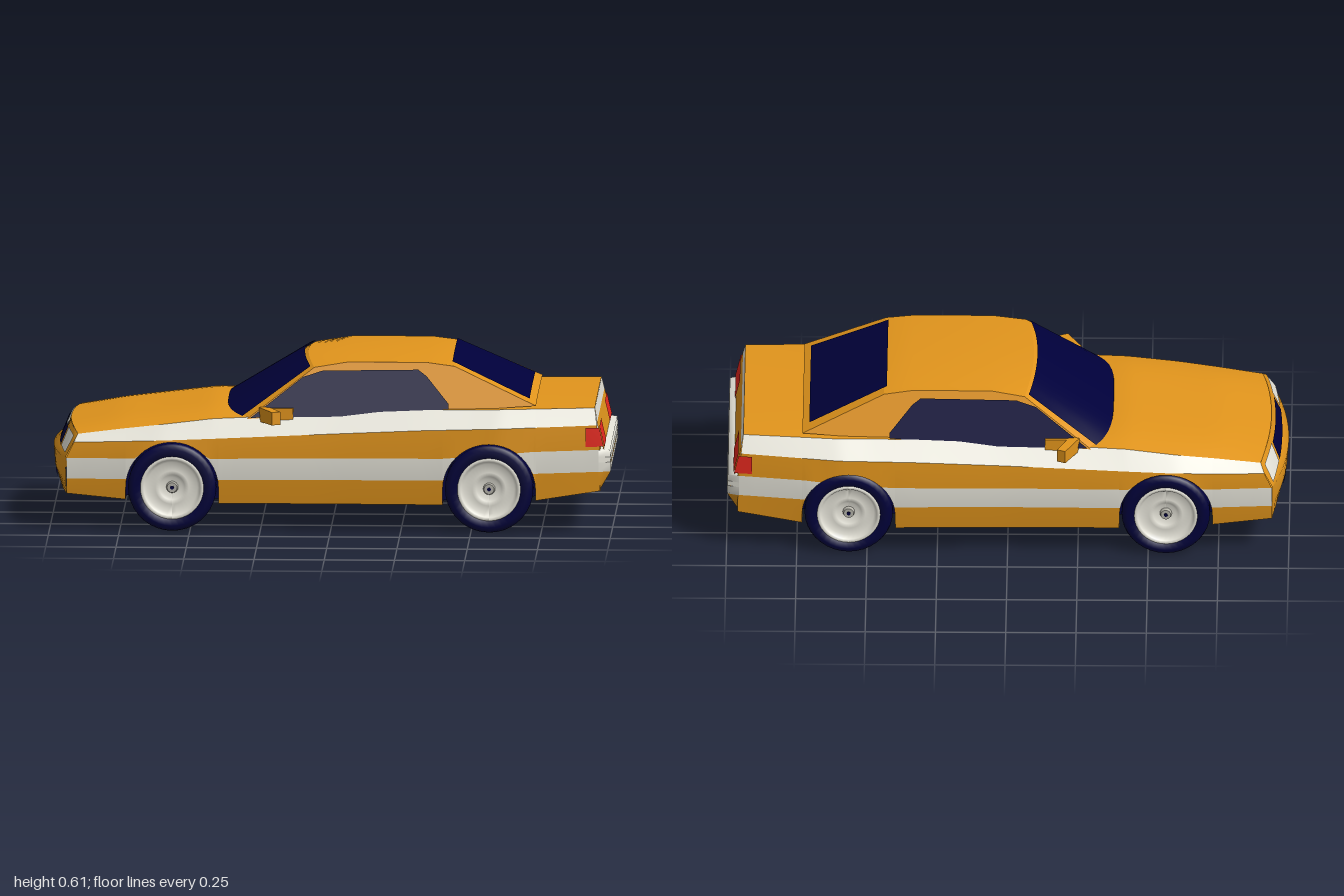
import * as THREE from 'three';

const material = (name, color) => {
  const m = new THREE.MeshStandardMaterial({ color, side: THREE.DoubleSide });
  m.name = name;
  return m;
};

// Piecewise linear lookup in [[x, value], ...]
const table = (pts) => (x) => {
  let i = 0;
  while (i < pts.length - 2 && x > pts[i + 1][0]) i++;
  const [a, b] = [pts[i], pts[i + 1]];
  return THREE.MathUtils.lerp(a[1], b[1], THREE.MathUtils.clamp((x - a[0]) / (b[0] - a[0]), 0, 1));
};
const range = (a, b, n) => Array.from({ length: n + 1 }, (_, i) => a + (b - a) * i / n);
const mix = (a, b, v) => a.map((n, i) => n + (b[i] - n) * v);

export function createModel() {
  const orange = material('orange paint', 0xe2951c);
  const white = material('white trim', 0xe6e4d9);
  const navy = material('dark navy', 0x00003a);
  const red = material('tail red', 0xee2a20);
  const grey = material('hub grey', 0xb4b2a8);
  const car = new THREE.Group();
  car.name = 'car';
  const middle = new THREE.Vector3(0, 0.25, 0);

  // Surface through rows of points, one material per strip, wound to face away from the car's middle
  function surface(name, rows, mats) {
    const n = rows[0].length, index = [], geo = new THREE.BufferGeometry();
    const list = Array.isArray(mats) ? mats : [mats];
    const tri = new THREE.Triangle(), normal = new THREE.Vector3(), mid = new THREE.Vector3();
    const points = rows.flat().map((p) => new THREE.Vector3(...p));
    let facing = 0;
    for (let r = 0; r < rows.length - 1; r++) {
      for (let c = 0; c < n - 1; c++) {
        const a = r * n + c, b = a + n;
        for (const f of [[a, a + 1, b + 1], [a, b + 1, b]]) {
          tri.set(...f.map((i) => points[i]));
          facing += tri.getArea() * tri.getNormal(normal).dot(tri.getMidpoint(mid).sub(middle));
          index.push(f);
        }
      }
      geo.addGroup(r * (n - 1) * 6, (n - 1) * 6, Math.min(r, list.length - 1));
    }
    geo.setAttribute('position', new THREE.Float32BufferAttribute(rows.flat(2), 3));
    geo.setIndex(index.flatMap(([a, b, c]) => (facing < 0 ? [a, c, b] : [a, b, c])));
    geo.computeVertexNormals();
    if (list.length === 1) geo.clearGroups();
    const mesh = new THREE.Mesh(geo, list.length === 1 ? list[0] : list);
    mesh.name = name;
    car.add(mesh);
  }
  // Patch ruled between two curves a(t) and b(t), with an optional offset
  function ruled(name, a, b, t0, t1, v0, v1, mat, off = [0, 0, 0]) {
    surface(name, range(v0, v1, 4).map((v) =>
      range(t0, t1, 16).map((t) => mix(a(t), b(t), v).map((n, i) => n + off[i]))), mat);
  }

  // Body lines along the length
  const halfWidth = table([[-0.94, 0.38], [-0.6, 0.408], [0, 0.407], [0.6, 0.42], [0.96, 0.383]]);
  const sill = table([[-0.94, 0.13], [-0.71, 0.11], [-0.4, 0.1], [0.4, 0.1], [0.72, 0.115], [0.96, 0.15]]);
  const stripeLow = table([[-0.94, 0.185], [0.4, 0.19], [0.72, 0.215], [0.96, 0.22]]);
  const stripeHigh = table([[-0.94, 0.26], [0.4, 0.27], [0.72, 0.295], [0.96, 0.3]]);
  const beltLow = table([[-0.94, 0.315], [-0.74, 0.322], [-0.42, 0.335], [0.33, 0.37], [0.96, 0.388]]);
  const beltHigh = table([[-0.94, 0.335], [-0.74, 0.362], [-0.42, 0.4], [0.33, 0.435], [0.96, 0.445]]);
  const beltIn = table([[-0.9, 0.89], [-0.3, 0.87], [0.5, 0.86], [0.94, 0.89]]);
  const crown = table([[-0.94, 0.01], [-0.74, 0.025], [-0.42, 0.024], [-0.3, 0.01], [0.6, 0.01], [0.96, 0.003]]);

  // Wheel arches, close round the tyres
  const wheelX = [-0.563, 0.565], wheelY = 0.157, archR = 0.165, wellZ = 0.285;
  const archOf = (x) => wheelX.find((c) => Math.abs(x - c) <= archR + 1e-6);
  const bottom = (x) => {
    const c = archOf(x);
    return c === undefined ? sill(x) : wheelY + Math.sqrt(Math.max(0, archR ** 2 - (x - c) ** 2));
  };
  const columns = range(-0.94, 0.96, 30).filter((x) => archOf(x) === undefined);
  for (const c of wheelX) {
    columns.push(c - archR - 0.001, c + archR + 0.001);
    for (const a of range(0, Math.PI, 20)) columns.push(c - archR * Math.cos(a));
  }
  columns.sort((a, b) => a - b);
  const bottomZ = (x) => halfWidth(x) * table([[0.1, 0.95], [0.19, 0.985], [0.27, 1], [0.36, 0.99]])(bottom(x));
  // Each line: height, share of half width, front and rear ends
  const lines = [[stripeLow, () => 0.985, -0.94, 0.96], [stripeHigh, () => 1, -0.94, 0.96],
    [beltLow, () => 0.99, -0.913, 0.948], [beltHigh, beltIn, -0.9, 0.94]];

  for (const s of [1, -1]) {
    // Painted side with the lower stripe, then the sloping white belt
    const rows = [columns.map((x) => [x, bottom(x), s * bottomZ(x)])];
    for (const [f, k, x0, x1] of lines) {
      rows.push(columns.map((c) => {
        const x = THREE.MathUtils.clamp(c, x0, x1), low = f(x) < bottom(x);
        return [x, low ? bottom(x) : f(x), s * (low ? bottomZ(x) : halfWidth(x) * k(x))];
      }));
    }
    surface('bodySide', rows.slice(0, 4), [orange, white, orange]);
    surface('whiteBelt', rows.slice(3), white);
    // Wheel wells
    for (const c of wheelX) {
      const xs = columns.filter((x) => Math.abs(x - c) < archR + 0.002);
      surface('wheelWell', [
        xs.map((x) => [x, bottom(x), s * bottomZ(x)]),
        xs.map((x) => [x, bottom(x), s * wellZ]),
        xs.map((x) => [x, sill(x), s * wellZ])], navy);
    }
  }

  // Floor, narrowed between the wheels
  surface('floor', columns.map((x) => {
    const z = archOf(x) === undefined ? bottomZ(x) : wellZ;
    return [[x, sill(x), z], [x, sill(x), -z]];
  }), orange);

  // Hood and rear deck
  const deck = (x, t) => [
    x - 0.035 * (1 - t * t) * THREE.MathUtils.clamp((-0.6 - x) / 0.3, 0, 1),
    beltHigh(x) + crown(x) * (1 - t ** 4), halfWidth(x) * beltIn(x) * t];
  const deckRows = (a, b) => range(a, b, 20).map((x) => range(-1, 1, 16).map((t) => deck(x, t)));
  surface('hood', deckRows(-0.9, -0.2), orange);
  surface('rearDeck', deckRows(0.4, 0.94), orange);

  // Nose: height, centre x, half width, corner x
  const noseRows = [[0.34, -0.935, 0.341, -0.9], [0.317, -0.946, 0.378, -0.913], [0.268, -0.968, 0.381, -0.94],
    [0.26, -0.997, 0.38, -0.943], [0.19, -0.992, 0.375, -0.941], [0.13, -0.97, 0.361, -0.94]];
  const nose = (i) => (t) => {
    const [y, x, z, corner] = noseRows[i];
    return [corner + (x - corner) * (1 - t * t), y + (i === 0 ? 0.012 * (1 - t ** 4) : 0), z * t];
  };
  surface('nose', noseRows.map((_, i) => range(-1, 1, 16).map(nose(i))), orange);
  const ahead = [-0.007, 0.004, 0];
  ruled('grille', nose(0), nose(2), -0.5, 0.5, 0.22, 0.95, navy, ahead);
  for (const s of [1, -1]) ruled('headlight', nose(0), nose(2), s * 0.55, s * 0.98, 0.15, 0.92, white, ahead);
  ruled('bumperSlot', nose(4), nose(5), -0.4, 0.4, 0.3, 0.6, navy, [-0.004, -0.002, 0]);

  // Tail panel, lights and bumper
  const tail = (x, y, z) => (t) => [x, y, z * t];
  const lip = tail(0.94, 0.445, 0.343), panelTop = tail(0.949, 0.397, 0.38), panelLow = tail(0.972, 0.3, 0.383);
  ruled('tailLip', lip, panelTop, -1, 1, 0, 1, white);
  ruled('tailPanel', panelTop, panelLow, -1, 1, 0, 1, orange);
  const taper = (x, y, z) => [-1, -0.96, 0.96, 1].map((t) => [Math.abs(t) === 1 ? 0.955 : x, y, z * t]);
  surface('bumperTop', [taper(0.96, 0.302, 0.383), taper(0.995, 0.298, 0.385), taper(0.997, 0.273, 0.384)], white);
  surface('bumperLower', [taper(0.998, 0.254, 0.384), taper(0.997, 0.22, 0.381),
    taper(0.966, 0.165, 0.37), taper(0.955, 0.15, 0.365)], [white, orange, orange]);
  // Deep groove across the bumper
  ruled('bumperGrooveTop', tail(0.996, 0.273, 0.368), tail(0.962, 0.273, 0.368), -1, 1, 0, 1, white);
  ruled('bumperGrooveFloor', tail(0.962, 0.254, 0.368), tail(0.997, 0.254, 0.368), -1, 1, 0, 1, white);
  ruled('bumperGroove', tail(0.962, 0.273, 0.368), tail(0.962, 0.254, 0.368), -1, 1, 0, 1, navy);
  for (const s of [1, -1]) {
    surface('bumperEnd', [0.273, 0.254].map((y) => [[0.997, y, s * 0.3687], [0.955, y, s * 0.384]]), white);
    ruled('tailLight', panelTop, panelLow, s * 0.5, s * 0.985, 0.14, 0.92, red, [0.005, 0, 0]);
    // Light wrapping round the corner
    surface('tailLightSide', [[0.38, 0.957], [0.312, 0.973]].map(([y, x]) =>
      [[0.908, y, s * (halfWidth(0.908) + 0.004)], [x, y, s * 0.385]]), red);
  }

  // Cabin: sides lean inwards by one rule
  const cabinZ = (y) => 0.342 - (y - 0.447) * 0.36;
  const base = [[-0.3, 0.398], [0.1, 0.41], [0.42, 0.43], [0.73, 0.45]];
  const roof = [[-0.06, 0.577, 0.018, 0.03], [0.06, 0.596, 0.01, 0], [0.34, 0.596, 0.009, 0], [0.44, 0.583, 0.007, 0]];
  const roofLine = ([x, y, rise, bow]) => (t) => [x - bow * (1 - t * t), y + rise * (1 - t * t), cabinZ(y) * t];
  surface('roof', roof.map((r) => range(-1, 1, 16).map(roofLine(r))), orange);
  const cowl = (t) => [-0.3 - 0.073 * (1 - t ** 4), 0.398 + 0.022 * (1 - t * t), cabinZ(0.398) * t];
  const rearBase = (t) => [0.73, 0.45 + 0.006 * (1 - t * t), cabinZ(0.45) * t];
  const front = roofLine(roof[0]), back = roofLine(roof[3]);
  ruled('windshieldFrame', cowl, front, -1, 1, 0, 1, orange);
  ruled('windshield', cowl, front, -0.95, 0.95, 0.01, 0.97, navy, [-0.004, 0.006, 0]);
  ruled('rearWindowFrame', back, rearBase, -1, 1, 0, 1, orange);
  ruled('rearWindow', back, rearBase, -0.87, 0.87, -0.04, 0.91, navy, [0.002, 0.005, 0]);

  const windowOutline = [[-0.285, 0.405], [-0.1, 0.545], [-0.03, 0.567], [0.31, 0.572],
    [0.34, 0.55], [0.42, 0.455], [0.42, 0.437], [0.1, 0.412]];
  for (const s of [1, -1]) {
    surface('cabinSide', [base, roof].map((l) => l.map(([x, y]) => [x, y, s * cabinZ(y)])), orange);
    const geo = new THREE.ShapeGeometry(new THREE.Shape(windowOutline.map((p) => new THREE.Vector2(...p))));
    const p = geo.attributes.position;
    for (let i = 0; i < p.count; i++) p.setZ(i, s * (cabinZ(p.getY(i)) + 0.006));
    if (s < 0) geo.index.array.reverse();
    geo.computeVertexNormals();
    const glass = new THREE.Mesh(geo, navy);
    glass.name = 'sideWindow';
    car.add(glass);

    // Door mirror: angled square blade on a small foot
    const blade = new THREE.CylinderGeometry(0.033, 0.036, 0.11, 4, 1, false, Math.PI / 4).toNonIndexed();
    blade.scale(0.7, 1, 1);
    blade.rotateX(s * Math.PI / 2);
    blade.computeVertexNormals();
    const mirror = new THREE.Mesh(blade, orange);
    mirror.name = 'doorMirror';
    mirror.position.set(-0.215, 0.416, s * 0.395);
    mirror.rotation.y = s * 0.45;
    const foot = new THREE.Mesh(new THREE.BoxGeometry(0.09, 0.042, 0.024), orange);
    foot.name = 'mirrorFoot';
    foot.position.set(-0.178, 0.418, s * 0.352);
    car.add(mirror, foot);
  }

  // Wheels: lathe profiles of radius and outward distance
  const lathe = (pts) => new THREE.LatheGeometry(pts.map((p) => new THREE.Vector2(...p)), 36);
  const tyreGeo = lathe([[0, -0.057], [0.137, -0.057], [0.152, -0.05], [0.157, -0.038], [0.157, 0.038],
    [0.152, 0.05], [0.137, 0.057], [0.108, 0.055], [0.104, 0.03]]);
  const rimGeo = lathe([[0, 0.034], [0.035, 0.034], [0.045, 0.042], [0.06, 0.046], [0.09, 0.04],
    [0.1, 0.056], [0.108, 0.06], [0.113, 0.055]]);
  rimGeo.index.array.reverse();
  rimGeo.computeVertexNormals();
  const capGeo = new THREE.CylinderGeometry(0.018, 0.022, 0.016, 16);
  const nutGeo = new THREE.CylinderGeometry(0.007, 0.007, 0.008, 8);
  for (const x of wheelX) for (const s of [1, -1]) {
    const wheel = new THREE.Group();
    wheel.name = 'wheel';
    const add = (name, geo, mat, y) => {
      const m = new THREE.Mesh(geo, mat);
      m.name = name;
      m.position.y = y;
      wheel.add(m);
    };
    add('tyre', tyreGeo, navy, 0);
    add('rim', rimGeo, white, 0);
    add('hubCap', capGeo, grey, 0.04);
    add('hubNut', nutGeo, navy, 0.047);
    wheel.rotation.x = s * Math.PI / 2;
    wheel.position.set(x, wheelY, s * 0.347);
    car.add(wheel);
  }
  return car;
}
